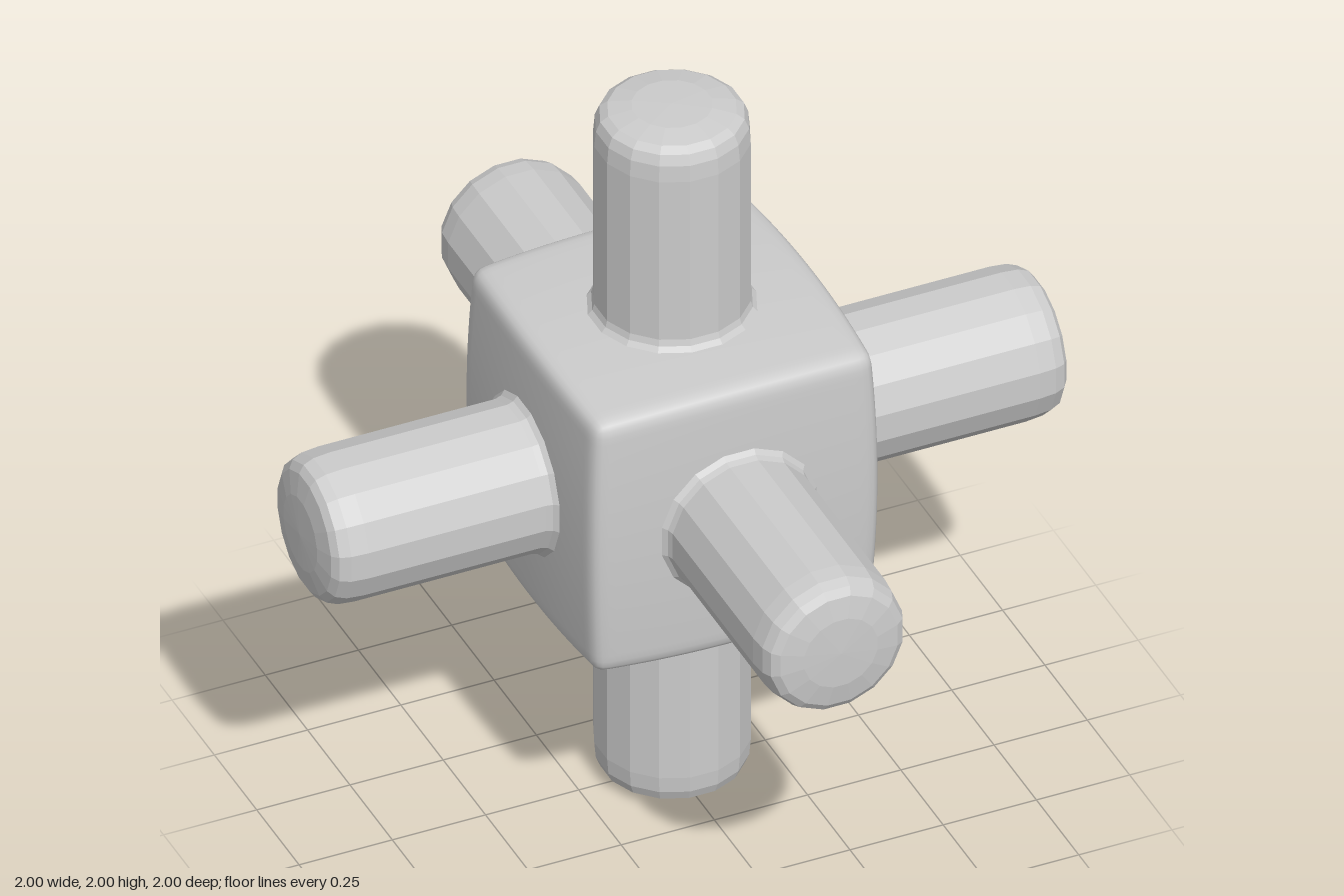
import * as THREE from 'three';
import { mergeVertices } from 'three/addons/utils/BufferGeometryUtils.js';

// Cube with softened edges and slightly bulging faces
function softCube(half, radius, bulge) {
  let geo = new THREE.BoxGeometry(2 * half, 2 * half, 2 * half, 40, 40, 40);
  geo.deleteAttribute('uv');
  geo.deleteAttribute('normal');
  geo = mergeVertices(geo, 1e-4);
  const pos = geo.attributes.position;
  const p = new THREE.Vector3();
  const inner = new THREE.Vector3();
  const k = half - radius;
  for (let i = 0; i < pos.count; i++) {
    p.fromBufferAttribute(pos, i);
    inner.copy(p).clampScalar(-k, k);
    p.sub(inner).setLength(radius).add(inner);
    const [x2, y2, z2] = [p.x, p.y, p.z].map((c) => bulge * (c / half) ** 2);
    pos.setXYZ(i, p.x * (1 - y2 - z2), p.y * (1 - x2 - z2), p.z * (1 - x2 - y2));
  }
  geo.computeVertexNormals();
  return geo;
}

export function createModel() {
  const group = new THREE.Group();
  const smooth = new THREE.MeshStandardMaterial({ color: 0xcccccc });
  const faceted = new THREE.MeshStandardMaterial({ color: 0xcccccc, flatShading: true });

  // Central block
  const core = new THREE.Mesh(softCube(0.4, 0.035, 0.035), smooth);
  core.name = 'coreBlock';
  core.position.y = 1;
  group.add(core);

  // Round peg profile: small fillet at the block, rounded outer end
  const profile = [
    [0.215, 0.37], [0.212, 0.395], [0.2, 0.408], [0.195, 0.425],
    [0.195, 0.9], [0.191, 0.945], [0.18, 0.972], [0.16, 0.986], [0.1, 0.997], [0, 1],
  ].map(([r, y]) => new THREE.Vector2(r, y));
  const pegGeo = new THREE.LatheGeometry(profile, 16, Math.PI / 16);

  // Six pegs, one on each face
  const up = new THREE.Vector3(0, 1, 0);
  const directions = {
    topPeg: [0, 1, 0], bottomPeg: [0, -1, 0],
    leftPeg: [1, 0, 0], rightPeg: [-1, 0, 0],
    frontPeg: [0, 0, 1], backPeg: [0, 0, -1],
  };
  for (const [name, dir] of Object.entries(directions)) {
    const peg = new THREE.Mesh(pegGeo, faceted);
    peg.name = name;
    peg.position.y = 1;
    peg.quaternion.setFromUnitVectors(up, new THREE.Vector3(...dir));
    group.add(peg);
  }
  return group;
}
